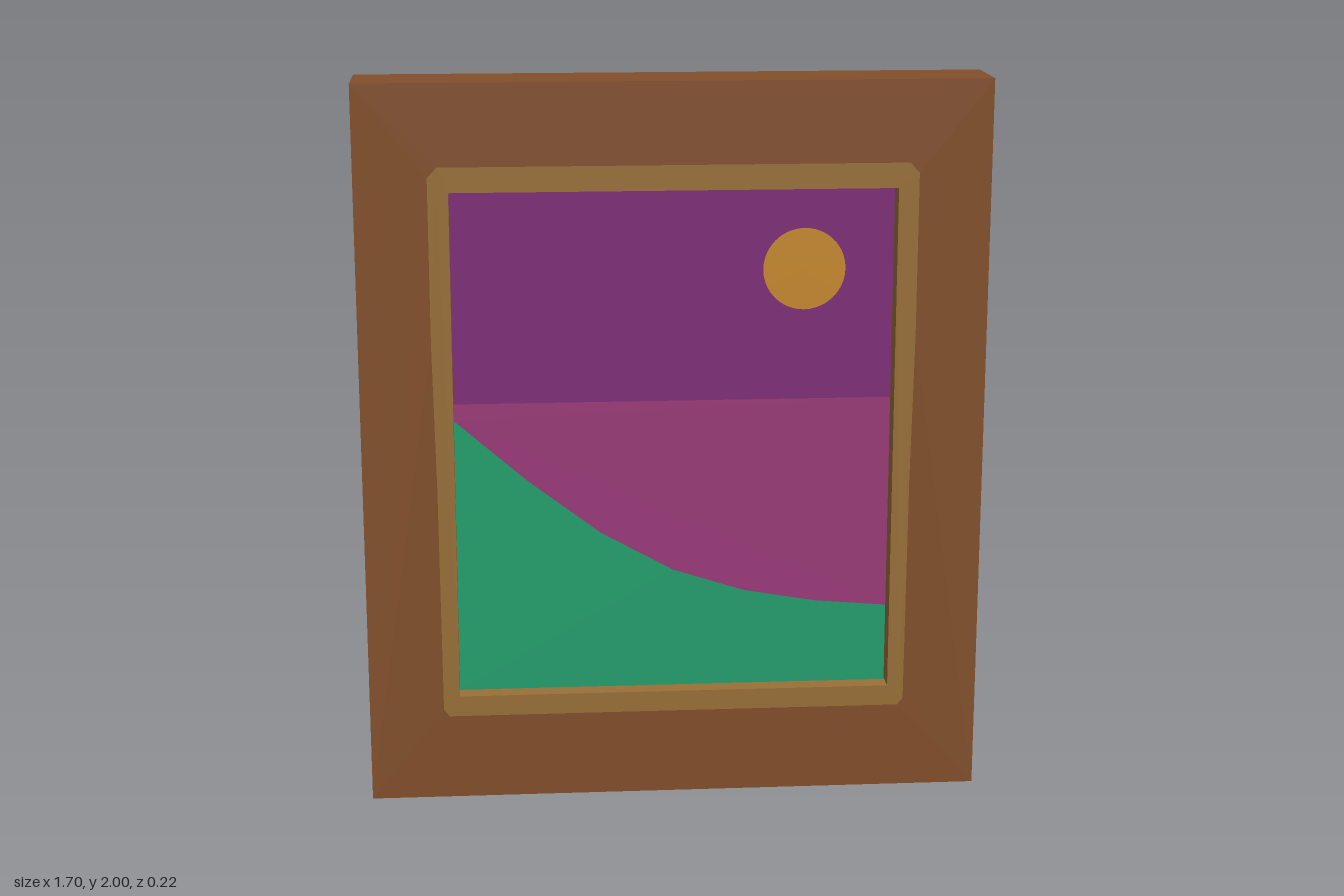
import * as THREE from 'three';

const paint = (name, color) =>
  new THREE.MeshStandardMaterial({ name, color, side: THREE.DoubleSide });

// Open wall that follows a polyline in x/y and runs from z0 to z1
function wall(points, z0, z1) {
  const pos = [];
  for (let i = 0; i < points.length - 1; i++) {
    const [ax, ay] = points[i], [bx, by] = points[i + 1];
    pos.push(ax, ay, z0, bx, by, z0, bx, by, z1);
    pos.push(ax, ay, z0, bx, by, z1, ax, ay, z1);
  }
  const geo = new THREE.BufferGeometry();
  geo.setAttribute('position', new THREE.Float32BufferAttribute(pos, 3));
  geo.computeVertexNormals();
  return geo;
}

// Flat face at depth z, with an optional hole
function face(points, z, hole) {
  const toVectors = (list) => list.map(([x, y]) => new THREE.Vector2(x, y));
  const shape = new THREE.Shape(toVectors(points));
  if (hole) shape.holes.push(new THREE.Path(toVectors(hole)));
  return new THREE.ShapeGeometry(shape).translate(0, 0, z);
}

const rect = (w, y0, y1) => [[-w, y0], [w, y0], [w, y1], [-w, y1]];
const closed = (points) => [...points, points[0]];

export function createModel() {
  const wood = paint('brown wood', 0x84502b);
  const gold = paint('dull gold', 0x9a7038);
  const purple = paint('purple sky', 0x7f2c78);
  const magenta = paint('magenta dusk', 0x9c3a79);
  const green = paint('green hill', 0x23a06e);
  const orange = paint('orange sun', 0xc8892c);

  const model = new THREE.Group();
  const add = (parent, name, geo, mat) => {
    const mesh = new THREE.Mesh(geo, mat);
    mesh.name = name;
    parent.add(mesh);
  };

  const front = 0.1125, frameBack = -0.098, canvasZ = 0.06, pictureBack = -0.1125;
  const outer = rect(0.85, 0, 2);
  const opening = rect(0.6, 0.298, 1.71);
  const trim = [
    [-0.63, 0.24], [0.63, 0.24], [0.645, 0.26], [0.648, 0.9], [0.655, 1.3],
    [0.655, 1.75], [0.63, 1.778], [-0.63, 1.778], [-0.655, 1.75],
    [-0.655, 1.3], [-0.648, 0.9], [-0.645, 0.26],
  ];

  // Hollow frame, open at the back
  const frame = new THREE.Group();
  frame.name = 'frame';
  add(frame, 'frameFront', face(outer, front, trim), wood);
  add(frame, 'frameSides', wall(closed(outer), frameBack, front), wood);
  add(frame, 'goldTrim', face(trim, front, opening), gold);
  add(frame, 'goldLip', wall(closed(opening), -0.037, front), gold);

  // Picture tray, nudged so its sides do not coincide with the lip
  const picture = new THREE.Group();
  picture.name = 'picture';
  picture.position.set(-0.002, -0.002, 0);
  const w = 0.6, bottom = 0.298, top = 1.71, horizon = 1.125;
  const hillLine = [
    [-w, 1.08], [-0.4, 0.905], [-0.2, 0.752], [0, 0.64],
    [0.2, 0.575], [0.4, 0.54], [w, 0.522],
  ];
  add(picture, 'sky', face(rect(w, horizon, top), canvasZ), purple);
  add(picture, 'dusk', face([...hillLine, [w, horizon], [-w, horizon]], canvasZ), magenta);
  add(picture, 'hill', face([[-w, bottom], [w, bottom], ...[...hillLine].reverse()], canvasZ), green);
  add(picture, 'skySides',
    wall([[w, horizon], [w, top], [-w, top], [-w, horizon]], pictureBack, canvasZ), purple);
  add(picture, 'duskSides',
    wall([[-w, horizon], [-w, bottom], [w, bottom], [w, horizon]], pictureBack, canvasZ), magenta);

  // Sun disc just in front of the canvas
  add(picture, 'sun',
    new THREE.CircleGeometry(0.112, 40).translate(0.357, 1.487, canvasZ + 0.003), orange);

  model.add(frame, picture);
  return model;
}
